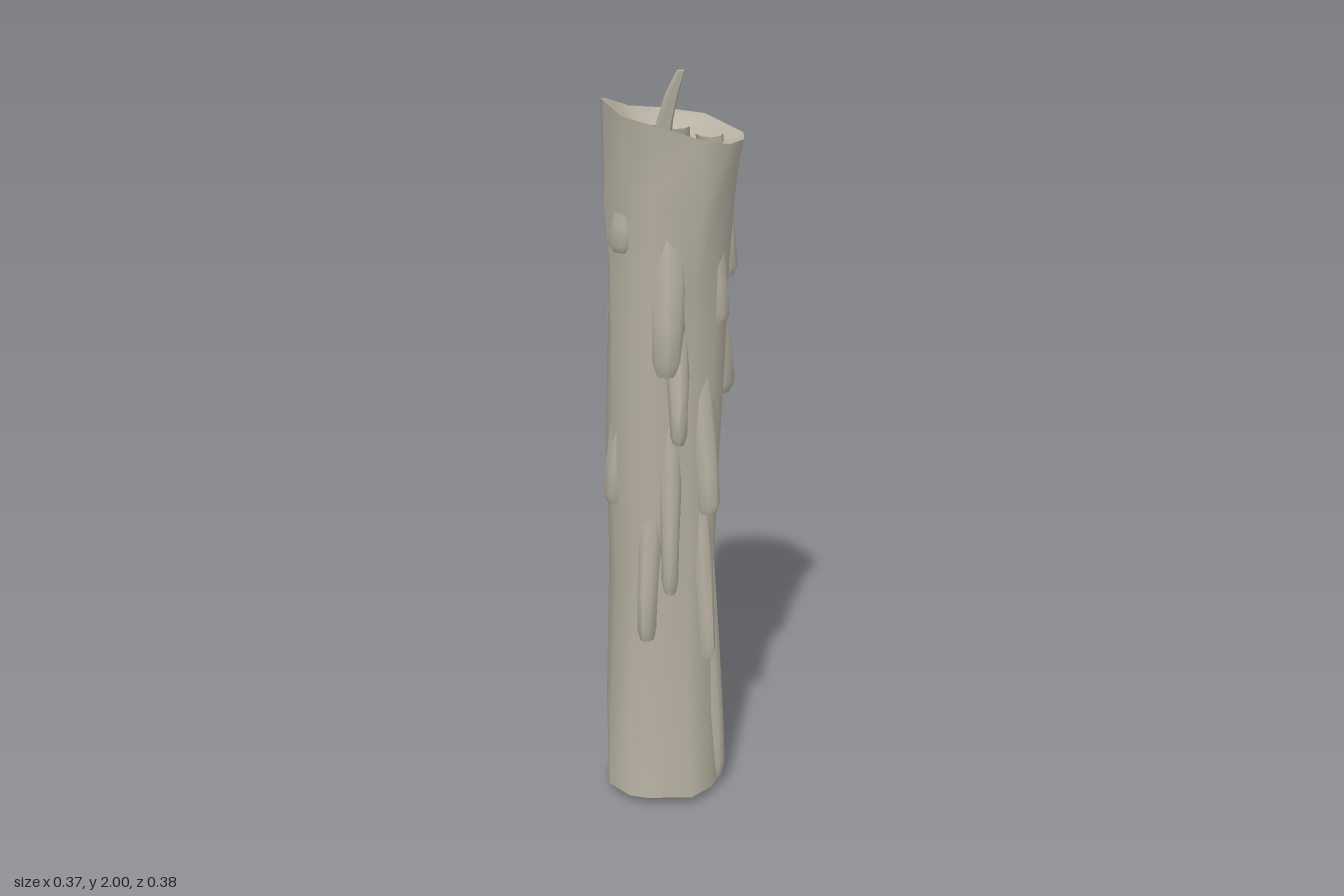
import * as THREE from 'three';
import { toCreasedNormals } from 'three/addons/utils/BufferGeometryUtils.js';

// Skin a stack of closed rings (arrays of [x, y, z]); rings run bottom to top.
function loft(rings, crease = 0.8) {
  const n = rings[0].length, index = [];
  for (let r = 0; r < rings.length - 1; r++) {
    for (let i = 0; i < n; i++) {
      const j = (i + 1) % n, a = r * n + i, b = r * n + j;
      index.push(a, a + n, b, b, a + n, b + n);
    }
  }
  const g = new THREE.BufferGeometry();
  g.setAttribute('position', new THREE.Float32BufferAttribute(rings.flat(2), 3));
  g.setIndex(index);
  return toCreasedNormals(g, crease);
}

// Uneven rim of the candle: x, y, z, starting at the back and passing the left side.
const RIM = [
  [-0.03, 1.88, -0.198], [0.06, 1.87, -0.185], [0.15, 1.86, -0.115], [0.187, 1.835, 0.035],
  [0.15, 1.835, 0.11], [0.09, 1.835, 0.15], [0.01, 1.855, 0.165], [-0.12, 1.9, 0.14],
  [-0.182, 1.92, 0.11], [-0.183, 1.94, 0], [-0.15, 1.925, -0.1], [-0.105, 1.91, -0.175],
];

// Trunk sections: y, right x, left x, back z, front z.
const TRUNK = [
  [0.0, -0.13, 0.1, -0.12, 0.12],
  [0.025, -0.185, 0.14, -0.165, 0.16],
  [0.25, -0.18, 0.137, -0.165, 0.135],
  [0.65, -0.158, 0.125, -0.172, 0.132],
  [1.0, -0.17, 0.13, -0.155, 0.14],
  [1.3, -0.165, 0.14, -0.148, 0.145],
  [1.5, -0.165, 0.147, -0.152, 0.152],
  [1.7, -0.178, 0.168, -0.172, 0.165],
];

function trunkRing([y, x0, x1, z0, z1], row) {
  return RIM.map(([px, , pz], i) => {
    const a = Math.atan2(pz, px);
    const k = 1 + 0.035 * Math.sin(i * 2.3 + row * 0.9);
    const lift = row > 1 ? 0.04 * Math.sin(i * 1.7 + row) : 0;
    return [
      (x0 + x1) / 2 + Math.cos(a) * k * (x1 - x0) / 2,
      y + lift,
      (z0 + z1) / 2 + Math.sin(a) * k * (z1 - z0) / 2,
    ];
  });
}

// A wax run: x, z of its outermost point, top y, bottom y, half width, half depth.
const DRIPS = [
  [-0.09, 0.165, 1.78, 1.25, 0.075, 0.045],
  [-0.06, 0.187, 1.36, 1.07, 0.04, 0.035],
  [-0.075, 0.155, 1.15, 0.64, 0.04, 0.03],
  [-0.14, 0.115, 0.98, 0.5, 0.045, 0.035],
  [0.06, 0.162, 1.25, 0.85, 0.05, 0.035],
  [0.055, 0.158, 0.9, 0.43, 0.035, 0.03],
  [0.11, 0.12, 1.75, 1.36, 0.06, 0.035],
  [0.165, 0.055, 1.84, 1.47, 0.07, 0.035],
  [0.178, -0.03, 1.8, 1.52, 0.11, 0.045],
  [0.172, 0.03, 1.58, 1.15, 0.1, 0.045],
  [0.12, 0.1, 0.7, 0.03, 0.05, 0.03],
  [0.09, -0.165, 1.84, 1.6, 0.06, 0.04],
  [-0.02, -0.188, 1.85, 1.62, 0.08, 0.035],
  [-0.13, -0.125, 1.62, 1.3, 0.07, 0.035],
  [-0.183, -0.03, 1.25, 0.86, 0.07, 0.035],
  [-0.135, -0.12, 0.95, 0.5, 0.06, 0.04],
  [0.1, -0.125, 0.62, 0.44, 0.035, 0.025],
  [-0.18, 0.03, 1.82, 1.56, 0.08, 0.035],
];

// Drip profile from the tip up: height fraction, width factor, outward factor.
const DRIP_PROFILE = [
  [0.02, 0.05, -0.9], [0, 0.4, -0.1], [0.07, 0.55, 0],
  [0.28, 0.6, -0.2], [0.6, 0.75, -0.6], [1, 0.7, -1.2],
];

function dripGeometry([x, z, top, bottom, w, d]) {
  const R = Math.hypot(x, z), nx = x / R, nz = z / R;
  return loft(DRIP_PROFILE.map(([u, wide, out]) => {
    const c = R - d + out * d, y = bottom + u * (top - bottom);
    return Array.from({ length: 8 }, (_, i) => {
      const a = i / 8 * Math.PI * 2;
      const o = c + Math.cos(a) * d * Math.min(1, wide * 2), s = Math.sin(a) * w * wide;
      return [nx * o - nz * s, y, nz * o + nx * s];
    });
  }), 1.0);
}

export function createModel() {
  const model = new THREE.Group();
  const wax = new THREE.MeshStandardMaterial({ color: 0xb5afa0 });
  wax.name = 'wax';
  const add = (name, geometry, parent = model) => {
    const mesh = new THREE.Mesh(geometry, wax);
    mesh.name = name;
    parent.add(mesh);
  };

  // Trunk, closed at the base and flaring into the rim
  const base = RIM.map(() => [-0.015, 0, 0]);
  add('candleBody', loft([base, ...TRUNK.map(trunkRing), RIM], 0.9));

  // Melted hollow: sloping wall, then a flat floor
  const scaled = (k, y) => RIM.map(([x, ry, z]) => [x * k, y ?? ry - 0.01, z * k]);
  add('meltedHollow', loft([RIM, scaled(0.86), scaled(0.68, 1.82), scaled(0.5, 1.79), scaled(0, 1.79)], 0.9));

  // Wax runs
  const drips = new THREE.Group();
  drips.name = 'waxDrips';
  model.add(drips);
  DRIPS.forEach((d) => add('waxDrip', dripGeometry(d), drips));

  // Leaning, tapered wick: y, centre x, centre z, radius
  const wick = [
    [1.78, -0.006, -0.045, 0.024], [1.87, -0.002, -0.03, 0.022],
    [1.94, 0.008, -0.01, 0.018], [2.0, 0.024, 0.008, 0.011], [2.0, 0.024, 0.008, 0],
  ];
  add('wick', loft(wick.map(([y, x, z, r]) => Array.from({ length: 5 }, (_, i) => {
    const a = i / 5 * Math.PI * 2;
    return [x + Math.cos(a) * r, y, z + Math.sin(a) * r];
  }))));

  return model;
}
